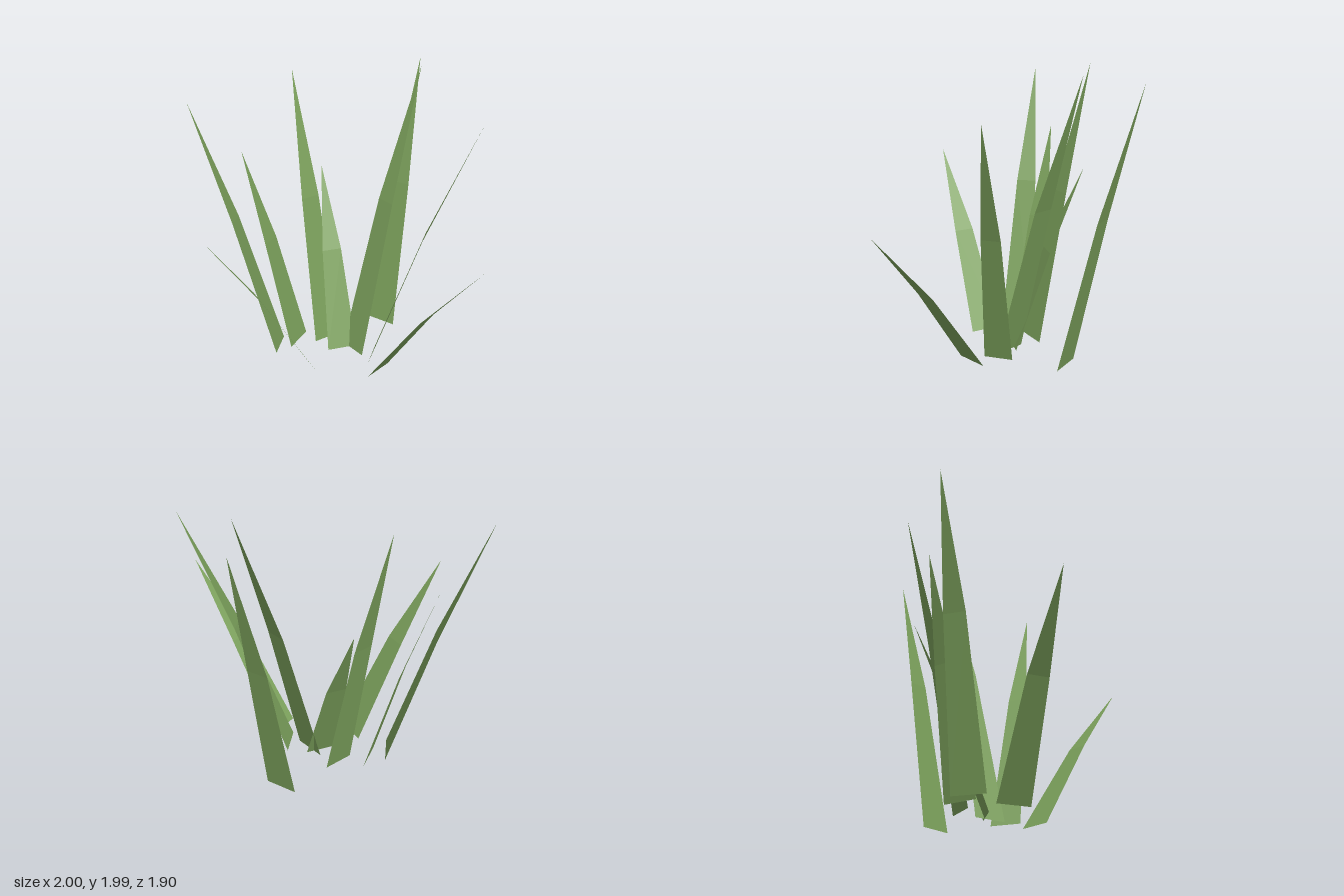
import * as THREE from 'three';

// Each blade: two root corners [x, z] and a tip [x, y, z]
const BLADES = [
  { a: [-0.33, -0.48], b: [-0.12, -0.52], tip: [-0.31, 1.95, -0.955] },
  { a: [-0.22, -0.09], b: [-0.01, -0.07], tip: [-0.075, 1.99, -0.69] },
  { a: [-0.015, -0.205], b: [0.085, -0.035], tip: [0.58, 1.79, -0.535] },
  { a: [0.185, -0.13], b: [0.195, 0.085], tip: [1.0, 1.11, -0.055] },
  { a: [-0.31, 0.225], b: [-0.105, 0.29], tip: [-0.415, 1.2, 0.95] },
  { a: [-0.59, 0.17], b: [-0.47, 0.345], tip: [-1.0, 1.81, 0.545] },
  { a: [-0.52, 0.01], b: [-0.45, 0.22], tip: [-0.855, 1.43, 0.245] },
  { a: [-0.375, 0.045], b: [-0.335, -0.16], tip: [-0.775, 1.935, -0.165] },
  { a: [-0.23, 0.055], b: [-0.13, -0.13], tip: [-0.615, 1.25, -0.27] },
];

// A blade narrows from its root to a bend, then to a point
function bladeGeometry({ a, b, tip }) {
  const rootA = new THREE.Vector3(a[0], 0, a[1]);
  const rootB = new THREE.Vector3(b[0], 0, b[1]);
  const end = new THREE.Vector3(...tip);
  const centre = rootA.clone().lerp(rootB, 0.5);
  const half = rootB.clone().sub(rootA).multiplyScalar(0.5 * 0.65);

  // The bend is halfway out but a little over halfway up
  const bend = centre.lerp(end, 0.5).setY(end.y * 0.55);
  const bendA = bend.clone().sub(half);
  const bendB = bend.clone().add(half);

  const geometry = new THREE.BufferGeometry().setFromPoints([rootA, rootB, bendA, bendB, end]);
  geometry.setIndex([0, 1, 3, 0, 3, 2, 2, 3, 4]);
  geometry.computeVertexNormals();
  return geometry;
}

export function createModel() {
  const group = new THREE.Group();
  group.name = 'grassTuft';
  const green = new THREE.MeshStandardMaterial({
    color: 0x7ba05b, flatShading: true, side: THREE.DoubleSide,
  });
  BLADES.forEach((blade, i) => {
    const mesh = new THREE.Mesh(bladeGeometry(blade), green);
    mesh.name = `grassBlade${i + 1}`;
    group.add(mesh);
  });
  return group;
}
